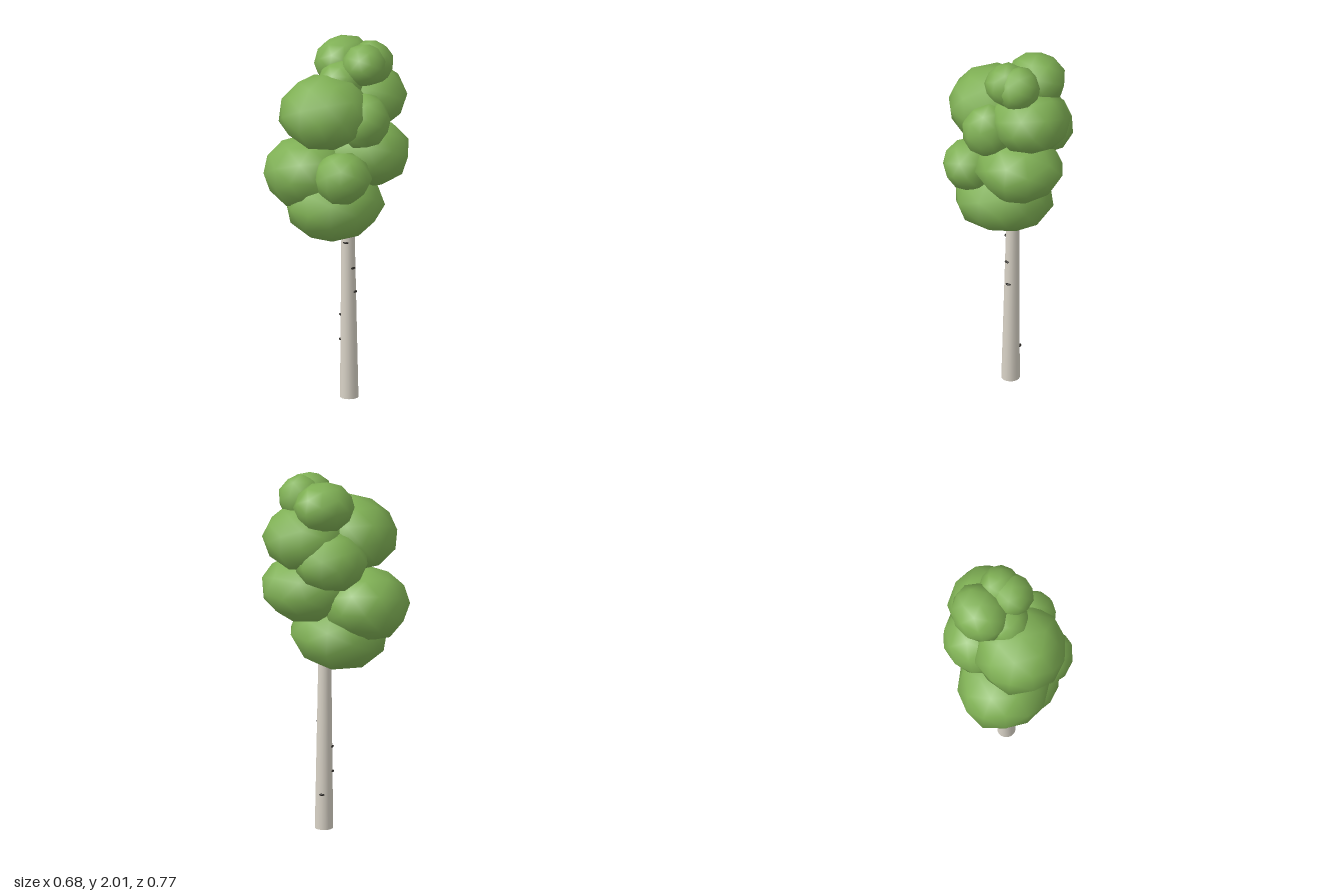
import * as THREE from 'three';
import { mergeVertices } from 'three/addons/utils/BufferGeometryUtils.js';

const leafMaterial = new THREE.MeshStandardMaterial({ color: 0x7fb054 });
const barkMaterial = new THREE.MeshStandardMaterial({ color: 0xd8d2c6 });
const markMaterial = new THREE.MeshStandardMaterial({ color: 0x25231f });

// Leaf clumps: centre x, y, z, then radii x, y, z
const clumps = [
  ['bottomClump', 0.02, 1.11, 0.05, 0.265, 0.2, 0.26],
  ['lowerFrontClump', -0.1, 1.285, 0.145, 0.24, 0.195, 0.24],
  ['lowerLeftClump', 0.185, 1.31, 0.14, 0.152, 0.145, 0.152],
  ['lowerBackClump', 0.07, 1.37, -0.135, 0.235, 0.185, 0.235],
  ['middleRightClump', -0.095, 1.56, -0.075, 0.2, 0.165, 0.2],
  ['middleLeftClump', 0.19, 1.6, -0.015, 0.145, 0.15, 0.14],
  ['upperFrontClump', 0.03, 1.65, 0.135, 0.247, 0.2, 0.242],
  ['upperBackClump', 0.035, 1.675, -0.17, 0.215, 0.175, 0.215],
  ['crownFrontClump', 0.025, 1.79, 0.0, 0.13, 0.12, 0.128],
  ['crownRightClump', -0.075, 1.86, -0.1, 0.145, 0.14, 0.17],
  ['crownLeftClump', 0.12, 1.885, -0.08, 0.12, 0.115, 0.12],
  ['crownBackClump', 0.095, 1.88, -0.15, 0.12, 0.12, 0.12],
];

// Rough ball: a subdivided icosahedron with slightly uneven corners, shaded smooth
function clumpGeometry(seed) {
  const base = new THREE.IcosahedronGeometry(1, 1);
  base.deleteAttribute('normal');
  base.deleteAttribute('uv');
  const geometry = mergeVertices(base, 1e-3);
  const p = geometry.attributes.position;
  const v = new THREE.Vector3();
  for (let i = 0; i < p.count; i++) {
    const wobble = Math.sin(i * 12.9 + seed * 7.3) * 0.04;
    v.fromBufferAttribute(p, i).multiplyScalar(1.02 + wobble);
    p.setXYZ(i, v.x, v.y, v.z);
  }
  geometry.rotateY(seed * 1.3);
  geometry.computeVertexNormals();
  return geometry;
}

// Trunk centre line and radius at a height
const trunkAt = (y) => ({ x: 0.05 - 0.014 * y, z: -0.032 - 0.003 * y, r: 0.05 - 0.015 * y });

function createTrunk() {
  const height = 1.25;
  const geometry = new THREE.CylinderGeometry(trunkAt(height).r, trunkAt(0).r, height, 16, 4);
  geometry.translate(0, height / 2, 0);
  const p = geometry.attributes.position;
  for (let i = 0; i < p.count; i++) {
    const c = trunkAt(p.getY(i));
    p.setX(i, p.getX(i) + c.x);
    p.setZ(i, p.getZ(i) + c.z);
  }
  const trunk = new THREE.Mesh(geometry, barkMaterial);
  trunk.name = 'trunk';
  return trunk;
}

// Bark marks: height and direction around the trunk in degrees (0 = +x, 90 = +z)
function createBarkMarks() {
  const marks = new THREE.Group();
  marks.name = 'barkMarks';
  const geometry = new THREE.SphereGeometry(1, 8, 6);
  for (const [y, degrees] of [[0.2, 225], [0.325, 135], [0.465, 135], [0.6, -20], [0.735, 0], [0.88, 62]]) {
    const angle = THREE.MathUtils.degToRad(degrees);
    const c = trunkAt(y);
    const mark = new THREE.Mesh(geometry, markMaterial);
    mark.name = 'barkMark';
    mark.scale.set(0.009, 0.006, 0.016);
    mark.position.set(c.x + c.r * Math.cos(angle), y, c.z + c.r * Math.sin(angle));
    mark.rotation.y = -angle;
    marks.add(mark);
  }
  return marks;
}

export function createModel() {
  const tree = new THREE.Group();
  tree.name = 'tree';
  tree.add(createTrunk(), createBarkMarks());

  const foliage = new THREE.Group();
  foliage.name = 'foliage';
  clumps.forEach(([name, x, y, z, rx, ry, rz], i) => {
    const clump = new THREE.Mesh(clumpGeometry(i + 1), leafMaterial);
    clump.name = name;
    clump.position.set(x, y, z);
    clump.scale.set(rx, ry, rz);
    foliage.add(clump);
  });
  tree.add(foliage);
  return tree;
}
